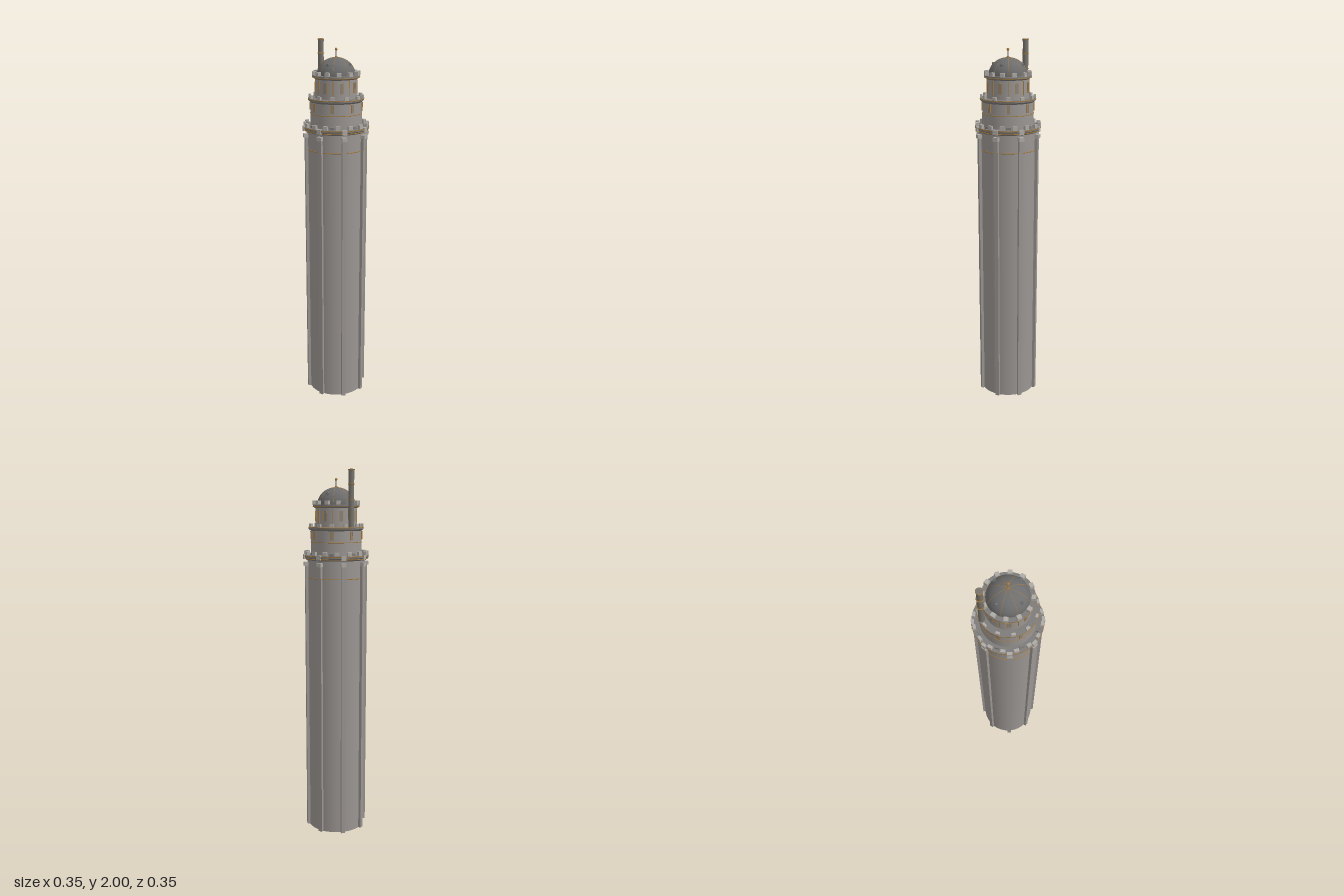
import * as THREE from 'three';

const mat = (color, side = THREE.FrontSide) => new THREE.MeshStandardMaterial({ color, side });
const wall = mat(0x9a9592, THREE.DoubleSide);
const paleStone = mat(0xaeaaa5);
const darkStone = mat(0x7e7c7a);
const slate = mat(0x6e6d6d);
const iron = mat(0x77736c);
const gold = mat(0xa87c3c);
const glass = mat(0x8a8580);

export function createModel() {
  const tower = new THREE.Group();
  tower.name = 'tower';

  const add = (name, geo, material, parent = tower) => {
    const m = new THREE.Mesh(geo, material);
    m.name = name;
    parent.add(m);
    return m;
  };
  // upright cylinder between two heights
  const drum = (name, r0, r1, y0, y1, material, seg = 64, open = false) => {
    const m = add(name, new THREE.CylinderGeometry(r1, r0, y1 - y0, seg, 1, open), material);
    m.position.y = (y0 + y1) / 2;
    return m;
  };
  const band = (name, r, y, t = 0.0025) => {
    const m = add(name, new THREE.TorusGeometry(r, t, 6, 64), gold);
    m.rotation.x = Math.PI / 2;
    m.position.y = y;
    return m;
  };
  // n copies around the axis; build(group) works with +z pointing outwards
  const around = (name, n, offset, build) => {
    for (let i = 0; i < n; i++) {
      const g = new THREE.Group();
      g.name = name;
      g.rotation.y = offset + (i / n) * Math.PI * 2;
      build(g);
      tower.add(g);
    }
  };
  // box given by its width, height range and radial range
  const block = (g, name, w, y0, y1, r0, r1, material, x = 0) => {
    const m = add(name, new THREE.BoxGeometry(w, y1 - y0, r1 - r0), material, g);
    m.position.set(x, (y0 + y1) / 2, (r0 + r1) / 2);
  };
  const windowAt = (g, w, y0, y1, r) => {
    block(g, 'windowPane', w, y0, y1, r - 0.01, r + 0.004, glass);
    for (const s of [-1, 1]) {
      block(g, 'windowJamb', 0.003, y0, y1, r - 0.01, r + 0.005, gold, s * w / 2);
    }
  };
  const E = Math.PI / 8;

  // hollow main shaft with eight pilasters
  drum('shaft', 0.157, 0.157, 0, 1.535, wall, 64, true);
  around('pilaster', 8, E, (g) => {
    block(g, 'pilasterStrip', 0.022, 0, 1.5, 0.15, 0.172, wall);
    block(g, 'pilasterCap', 0.028, 1.5, 1.52, 0.15, 0.179, paleStone);
  });
  band('shaftBand', 0.157, 1.435);

  // main gallery with battlements
  drum('galleryCornice', 0.162, 0.176, 1.53, 1.545, darkStone);
  drum('galleryFloor', 0.176, 0.176, 1.545, 1.557, darkStone);
  band('galleryLowerTrim', 0.172, 1.538);
  band('galleryUpperTrim', 0.175, 1.553);
  around('galleryMerlon', 16, E / 2, (g) => block(g, 'merlon', 0.024, 1.555, 1.578, 0.16, 0.175, paleStone));
  around('galleryBracket', 8, E, (g) => block(g, 'bracket', 0.026, 1.535, 1.56, 0.165, 0.18, paleStone));
  around('galleryPlinth', 8, 0, (g) => block(g, 'plinth', 0.024, 1.555, 1.57, 0.147, 0.159, darkStone));

  // lower drum
  drum('lowerDrum', 0.138, 0.136, 1.555, 1.69, wall);
  band('lowerDrumBand', 0.137, 1.625, 0.002);
  around('lowerWindow', 8, 0, (g) => windowAt(g, 0.014, 1.638, 1.682, 0.136));

  // middle gallery
  drum('middleCornice', 0.138, 0.148, 1.685, 1.694, darkStone);
  drum('middleFloor', 0.148, 0.148, 1.694, 1.705, darkStone);
  band('middleTrim', 0.147, 1.702);
  around('middleMerlon', 12, Math.PI / 12, (g) => block(g, 'merlon', 0.02, 1.703, 1.722, 0.135, 0.147, paleStone));

  // upper drum
  drum('upperDrum', 0.112, 0.11, 1.7, 1.81, wall);
  around('upperWindow', 8, E, (g) => windowAt(g, 0.016, 1.735, 1.788, 0.109));
  around('upperStrip', 8, 0, (g) => block(g, 'strip', 0.004, 1.725, 1.8, 0.1, 0.113, gold));

  // upper gallery
  drum('upperCornice', 0.112, 0.125, 1.803, 1.812, darkStone);
  drum('upperFloor', 0.125, 0.125, 1.812, 1.822, darkStone);
  band('upperTrim', 0.124, 1.812);
  around('upperMerlon', 12, 0, (g) => block(g, 'merlon', 0.022, 1.82, 1.842, 0.106, 0.126, paleStone));

  // dome with ribs and studs
  const domeY = 1.82, domeR = 0.102, domeH = 0.092;
  const dome = add('dome', new THREE.SphereGeometry(domeR, 48, 20, 0, Math.PI * 2, 0, Math.PI / 2), slate);
  dome.scale.y = domeH / domeR;
  dome.position.y = domeY;
  around('domeRib', 8, 0, (g) => {
    const rib = add('rib', new THREE.TorusGeometry(domeR - 0.0003, 0.001, 8, 32, Math.PI / 2), gold, g);
    rib.rotation.y = -Math.PI / 2;
    rib.scale.y = domeH / domeR;
    rib.position.y = domeY;
  });
  around('domeStud', 4, E, (g) => {
    const stud = add('stud', new THREE.OctahedronGeometry(0.012), slate, g);
    stud.position.set(0, 1.876, 0.081);
    stud.rotation.x = 0.8;
  });

  // finial
  drum('finialBase', 0.008, 0.006, 1.908, 1.918, gold, 16);
  drum('finialRod', 0.003, 0.003, 1.91, 1.95, iron, 10);
  add('finialBall', new THREE.SphereGeometry(0.007, 16, 10), gold).position.y = 1.952;

  // chimney at the back
  const chimney = [
    drum('chimneyPipe', 0.015, 0.015, 1.69, 1.995, iron, 24),
    drum('chimneyRim', 0.016, 0.016, 1.985, 2.0, iron, 24),
    band('chimneyRimTrim', 0.016, 1.997),
    band('chimneyUpperBand', 0.016, 1.925),
    band('chimneyLowerBand', 0.016, 1.845),
  ];
  for (const m of chimney) m.position.z = -0.134;
  return tower;
}
